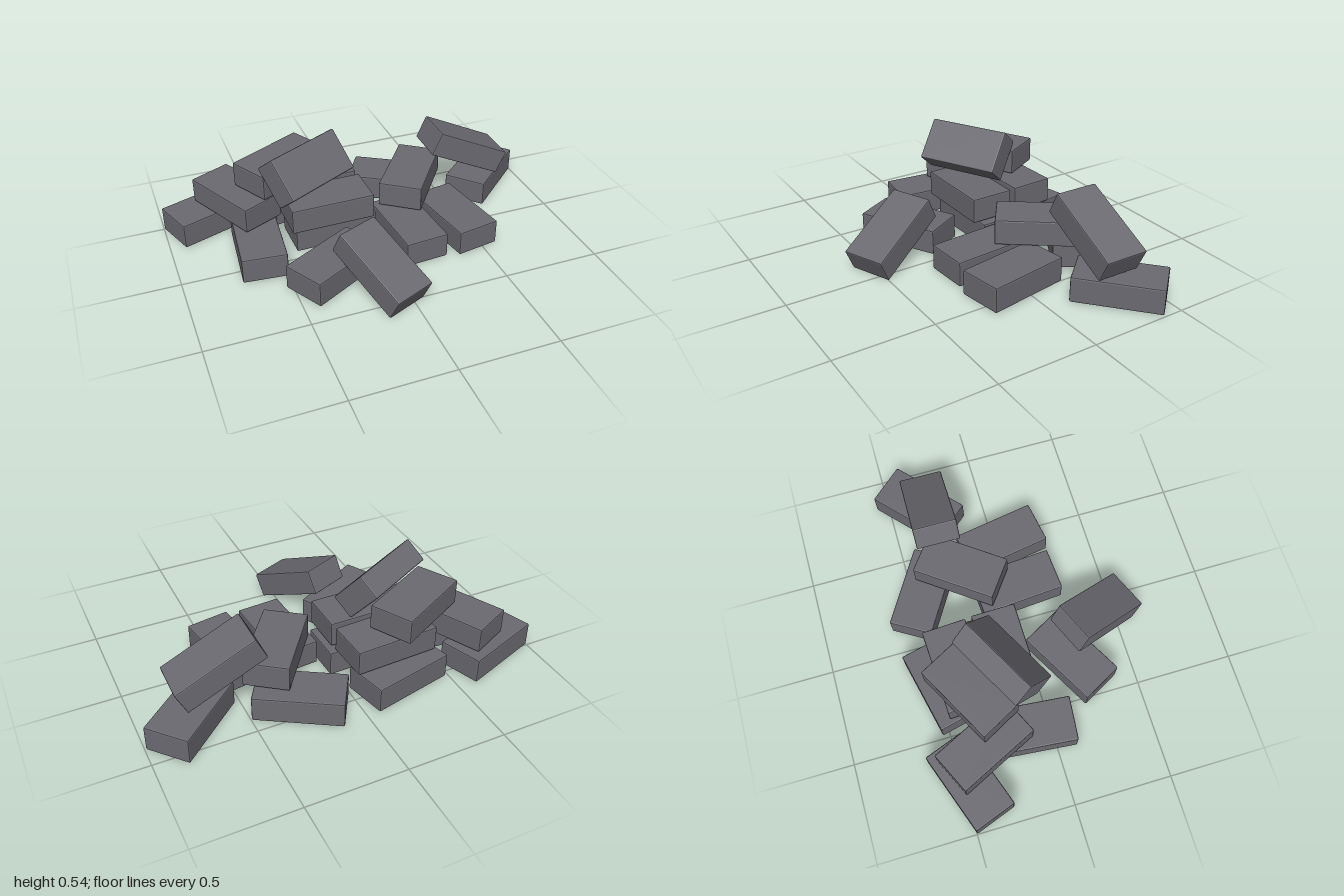
import * as THREE from 'three';
import { RoundedBoxGeometry } from 'three/addons/geometries/RoundedBoxGeometry.js';

const LENGTH = 0.432, HEIGHT = 0.13, WIDTH = 0.225;
const LAYERS = [0.075, 0.215, 0.355]; // centre heights of the flat courses

// Flat bricks: [layer, x, z, yaw in degrees]
const FLAT = [
  [0, -0.757, -0.465, 19.8],
  [0, -0.586, -0.103, 84.5],
  [0, -0.249, -0.473, 12.8],
  [0, -0.187, -0.17, 1.4],
  [0, -0.289, 0.2, 28.8],
  [0, 0.168, 0.04, -85.8],
  [0, 0.432, 0.035, -80.4],
  [0, 0.257, -0.441, -31.3],
  [0, 0.76, -0.337, 42],
  [1, -0.63, -0.35, -64.4],
  [1, -0.225, -0.377, 2.8],
  [1, -0.213, -0.128, 0.8],
  [1, 0.283, -0.222, 53.6],
  [2, -0.39, -0.35, 28.2],
];

// Tilted bricks: [name, x, y, z, yaw, roll about the long axis, pitch]
const TILTED = [
  ['topRolledBrick', -0.298, 0.42, -0.167, 28.2, 50, 0],
  ['frontLeaningBrick', -0.115, 0.155, 0.39, -66.5, 0, -25.4],
  ['sideLeaningBrick', 0.62, 0.302, -0.297, -0.7, 0, -25.6],
];

export function createModel() {
  const pile = new THREE.Group();
  pile.name = 'brickPile';

  // One block with narrow chamfered edges, shared by every brick
  const geometry = new RoundedBoxGeometry(LENGTH, HEIGHT, WIDTH, 1, 0.007);
  const material = new THREE.MeshStandardMaterial({ color: 0x6b6a71, flatShading: true });

  const addBrick = (name, x, y, z, yaw, roll = 0, pitch = 0) => {
    const brick = new THREE.Mesh(geometry, material);
    brick.name = name;
    brick.position.set(x, y, z);
    const [rx, ry, rz] = [roll, yaw, pitch].map(THREE.MathUtils.degToRad);
    brick.rotation.set(rx, ry, rz, 'YXZ');
    pile.add(brick);
  };

  // Flat courses
  const names = ['groundBrick', 'middleBrick', 'upperBrick'];
  FLAT.forEach(([layer, x, z, yaw], i) => addBrick(names[layer] + (i + 1), x, LAYERS[layer], z, yaw));

  // Bricks leaning on the others
  TILTED.forEach((t) => addBrick(...t));

  return pile;
}
